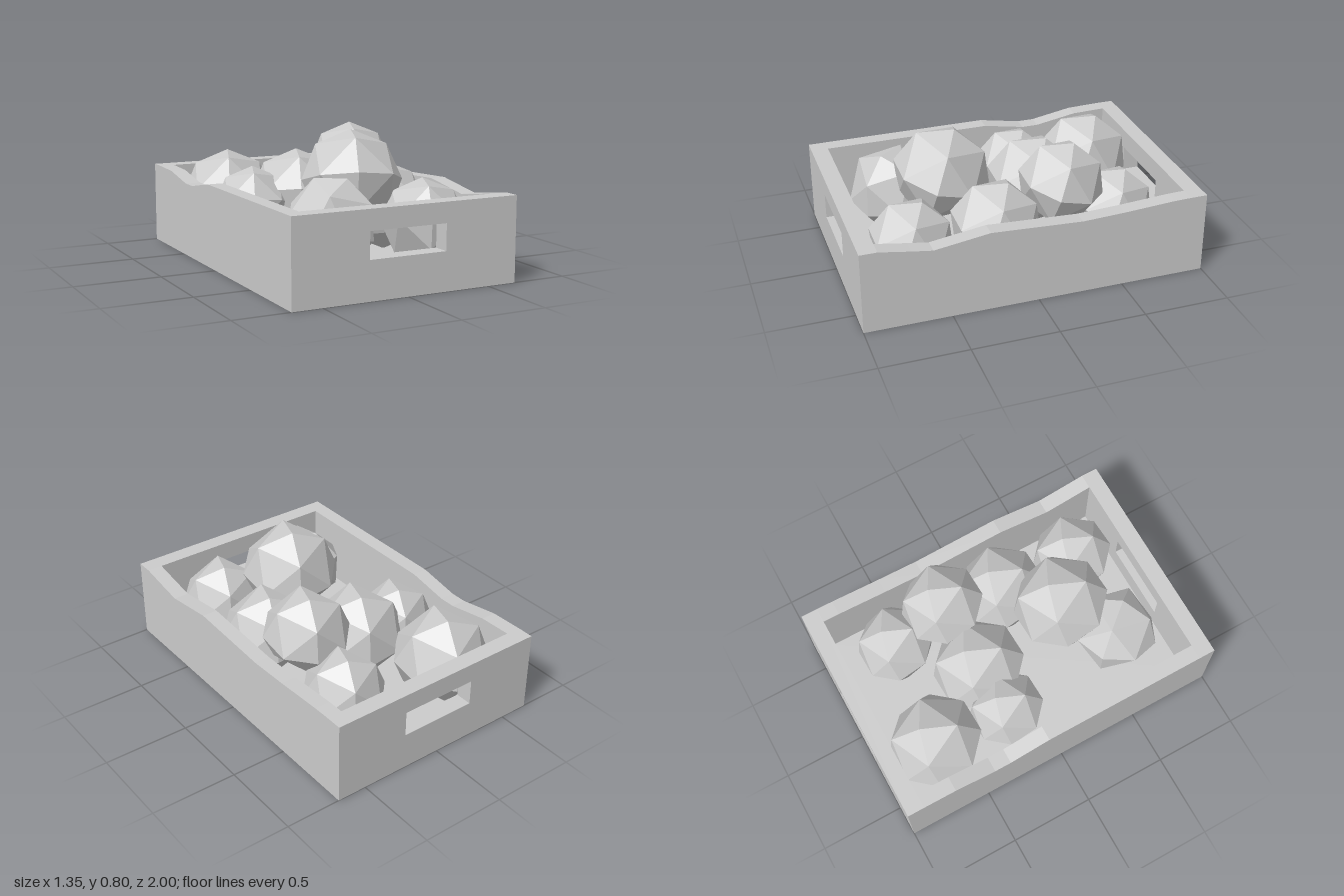
import * as THREE from 'three';

const material = new THREE.MeshStandardMaterial({ color: 0xcccccc, flatShading: true });

const W = 0.675, L = 1, H = 0.485; // half width, half length, wall height
const SIDE = 0.09, END = 0.1, FLOOR = 0.08;

function add(parent, geometry, name) {
  const mesh = new THREE.Mesh(geometry, material);
  mesh.name = name;
  parent.add(mesh);
  return mesh;
}

const extrude = (shape, depth) => new THREE.ExtrudeGeometry(shape, { depth, bevelEnabled: false });

// End board with a rectangular hand hole
function endBoard() {
  const shape = new THREE.Shape([[-W, 0], [W, 0], [W, H], [-W, H]].map(p => new THREE.Vector2(...p)));
  shape.holes.push(new THREE.Path([[-0.23, 0.22], [-0.23, 0.37], [0.23, 0.37], [0.23, 0.22]].map(p => new THREE.Vector2(...p))));
  return extrude(shape, END);
}

// Side board with a worn top edge, given as [z, y] points from front to back
function sideBoard(edge) {
  const inner = L - END;
  const points = [[inner, 0], [inner, H], ...edge, [-inner, H], [-inner, 0]];
  const shape = new THREE.Shape(points.map(([z, y]) => new THREE.Vector2(-z, y)));
  return extrude(shape, SIDE).rotateY(Math.PI / 2);
}

export function createModel() {
  const model = new THREE.Group();
  model.name = 'crateOfRoundProduce';

  const crate = new THREE.Group();
  crate.name = 'crate';
  model.add(crate);

  add(crate, endBoard(), 'frontBoard').position.z = L - END;
  add(crate, endBoard(), 'backBoard').position.z = -L;
  add(crate, sideBoard([[0.72, 0.455], [0.6, 0.437], [0.28, 0.483], [-0.25, 0.455], [-0.5, 0.465], [-0.8, 0.483]]), 'leftBoard').position.x = W - SIDE;
  add(crate, sideBoard([[-0.1, 0.483], [-0.35, 0.437], [-0.45, 0.437], [-0.7, 0.48]]), 'rightBoard').position.x = -W;
  add(crate, new THREE.BoxGeometry(2 * (W - SIDE), FLOOR, 2 * (L - END)), 'floor').position.y = FLOOR / 2;

  // Faceted balls: x, y, z, radius
  const balls = [
    [0.01, 0.53, 0.36, 0.285],
    [0.33, 0.53, -0.25, 0.25],
    [-0.05, 0.36, -0.22, 0.28],
    [-0.24, 0.35, 0.6, 0.255],
    [-0.32, 0.32, -0.65, 0.28],
    [0.32, 0.32, -0.58, 0.235],
    [-0.35, 0.33, -0.2, 0.225],
    [0.33, 0.33, 0.14, 0.265],
    [0.32, 0.31, 0.63, 0.245],
  ];
  const produce = new THREE.Group();
  produce.name = 'produce';
  model.add(produce);
  balls.forEach(([x, y, z, r], i) => {
    const ball = add(produce, new THREE.OctahedronGeometry(r, 1), 'ball' + (i + 1));
    ball.position.set(x, y, z);
    // Same lean for all, except one that is turned
    ball.rotation.set(i === 3 ? 0.35 : -0.28, i === 3 ? 0.7 : -0.36, 0, 'YXZ');
  });

  return model;
}
